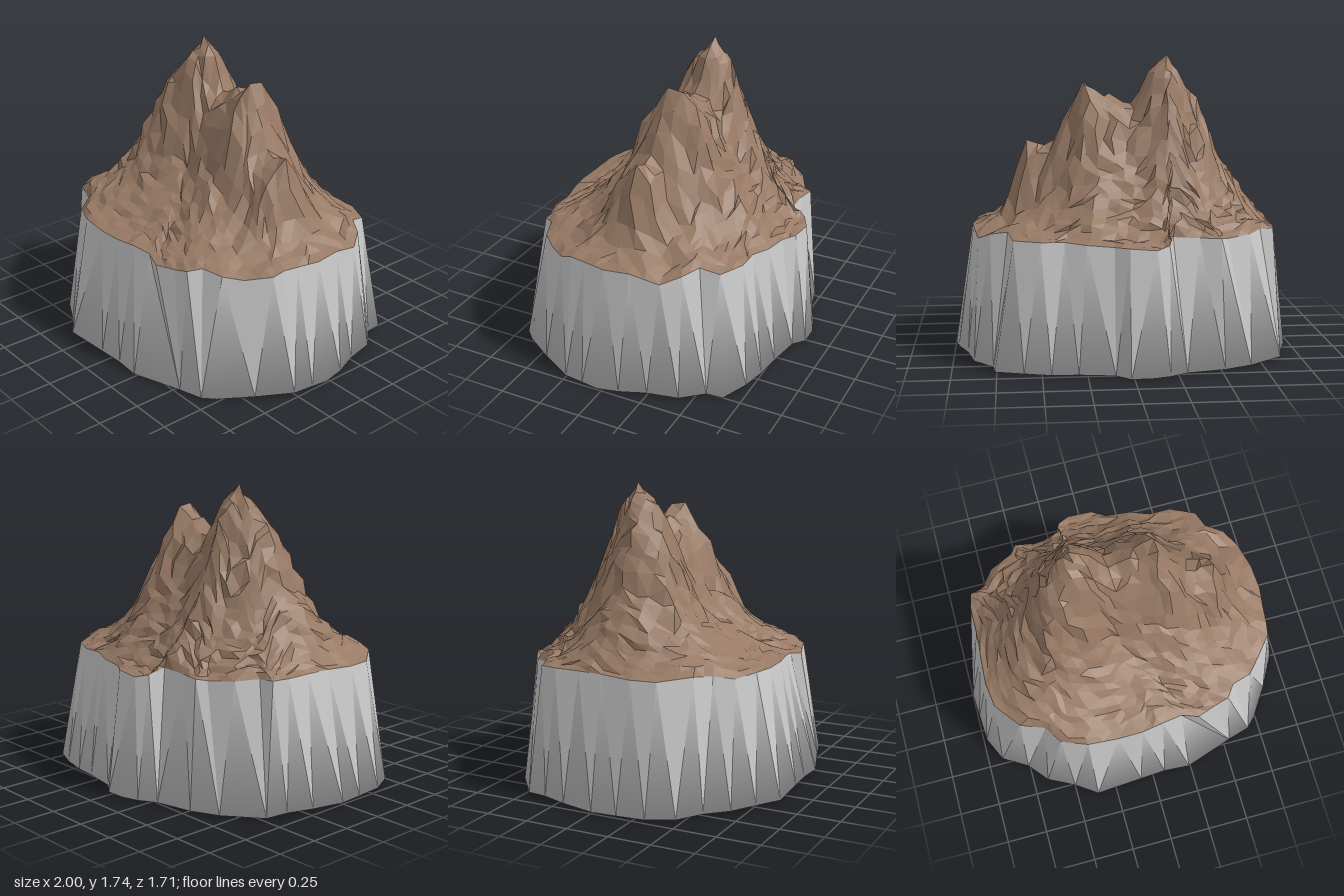
import * as THREE from 'three';
import { mergeVertices } from 'three/addons/utils/BufferGeometryUtils.js';

// Cliff edge as [x, z, height] and foot as [x, z], running from +x towards +z
const RIM = [
  [0.89, 0.02, 0.73], [0.87, 0.16, 0.735], [0.86, 0.25, 0.74], [0.85, 0.32, 0.72], [0.75, 0.44, 0.7],
  [0.67, 0.53, 0.72], [0.55, 0.57, 0.735], [0.5, 0.64, 0.72], [0.42, 0.66, 0.705], [0.3, 0.7, 0.7],
  [0.2, 0.67, 0.72], [0.08, 0.69, 0.73], [-0.05, 0.71, 0.725], [-0.2, 0.71, 0.72], [-0.38, 0.7, 0.73],
  [-0.53, 0.64, 0.72], [-0.6, 0.54, 0.74], [-0.74, 0.49, 0.76], [-0.86, 0.33, 0.74], [-0.88, 0.18, 0.74],
  [-0.87, 0, 0.75], [-0.86, -0.15, 0.75], [-0.86, -0.3, 0.75], [-0.84, -0.4, 0.75], [-0.76, -0.42, 0.75],
  [-0.68, -0.53, 0.74], [-0.54, -0.6, 0.73], [-0.5, -0.65, 0.74], [-0.38, -0.63, 0.74], [-0.23, -0.64, 0.75],
  [-0.2, -0.73, 0.72], [-0.13, -0.77, 0.7], [0.02, -0.76, 0.71], [0.1, -0.71, 0.71], [0.25, -0.69, 0.72],
  [0.37, -0.64, 0.73], [0.5, -0.64, 0.73], [0.65, -0.57, 0.73], [0.68, -0.46, 0.76], [0.78, -0.4, 0.74],
  [0.85, -0.3, 0.7], [0.88, -0.13, 0.74],
];
const FOOT = [
  [1, 0.03], [0.99, 0.13], [0.97, 0.25], [0.86, 0.45], [0.74, 0.63], [0.68, 0.69], [0.54, 0.73],
  [0.24, 0.83], [0.08, 0.82], [-0.08, 0.83], [-0.37, 0.85], [-0.5, 0.76], [-0.66, 0.68], [-0.76, 0.56],
  [-0.91, 0.47], [-0.98, 0.32], [-0.99, 0.15], [-1, 0], [-0.96, -0.2], [-0.91, -0.35], [-0.88, -0.48],
  [-0.68, -0.64], [-0.52, -0.71], [-0.3, -0.76], [-0.2, -0.82], [-0.1, -0.855], [0.02, -0.855],
  [0.1, -0.8], [0.3, -0.77], [0.45, -0.75], [0.6, -0.72], [0.76, -0.65], [0.77, -0.55], [0.88, -0.43],
  [0.92, -0.25], [0.98, -0.1],
];

// Mountain profiles: skyline height along x, slope height along z, ridge position along x
const SKYLINE = [
  [-0.88, 0.73], [-0.84, 0.755], [-0.74, 0.88], [-0.62, 1.1], [-0.55, 1.17], [-0.51, 1.33], [-0.42, 1.51],
  [-0.34, 1.63], [-0.26, 1.74], [-0.19, 1.71], [-0.11, 1.56], [-0.03, 1.46], [0.04, 1.52], [0.11, 1.53],
  [0.21, 1.61], [0.26, 1.57], [0.32, 1.4], [0.42, 1.23], [0.49, 1.11], [0.61, 0.97], [0.72, 0.81], [0.89, 0.73],
];
const SLOPE = [
  [-0.74, 0.73], [-0.645, 0.765], [-0.55, 0.89], [-0.456, 1.03], [-0.34, 1.28], [-0.24, 1.54], [-0.17, 1.66],
  [-0.1, 1.74], [0.014, 1.64], [0.1, 1.48], [0.143, 1.32], [0.207, 1.14], [0.315, 0.99], [0.373, 0.93],
  [0.51, 0.81], [0.58, 0.77], [0.7, 0.73],
];
const RIDGE = [[-0.6, -0.02], [-0.4, -0.05], [-0.26, -0.1], [0.2, -0.1], [0.56, -0.02]];
const BASE = 0.73, PEAK = [-0.26, -0.1], SIDE_PEAK = [0.56, -0.01];

function sample(table, v) {
  if (v <= table[0][0]) return table[0][1];
  for (let i = 1; i < table.length; i++) {
    const [a, ya] = table[i - 1], [b, yb] = table[i];
    if (v <= b) return ya + (yb - ya) * (v - a) / (b - a);
  }
  return table[table.length - 1][1];
}

function relief(x, z) {
  const across = (sample(SLOPE, z - sample(RIDGE, x) - 0.1) - BASE) / (1.74 - BASE);
  const dx = x - PEAK[0], dz = z - PEAK[1];
  const gully = 1 - 0.06 * Math.abs(Math.sin(Math.atan2(dz, dx) * 9 + Math.hypot(dx, dz) * 5)) * Math.min(1, Math.abs(dz) * 5);
  // Small pinnacle on the right shoulder
  const reach = Math.hypot((x - SIDE_PEAK[0]) / 0.13, (z - SIDE_PEAK[1]) / 0.2);
  return (sample(SKYLINE, x) - BASE) * across * gully + 0.22 * Math.max(0, 1 - reach);
}

function seeded(seed) {
  return () => {
    seed = (seed * 16807) % 2147483647;
    return seed / 2147483647 * 2 - 1;
  };
}

// Joins two closed rings with triangles, kept apart by the ring their base lies on
function stitch(outer, inner, progress) {
  const onOuter = [], onInner = [];
  const at = (ring, i) => ring[i % ring.length];
  let i = 0, j = 0;
  while (i < outer.length || j < inner.length) {
    const stepOuter = j >= inner.length || (i < outer.length && progress(outer, i + 1) < progress(inner, j + 1));
    if (stepOuter) onOuter.push(at(outer, i), at(inner, j), at(outer, ++i));
    else onInner.push(at(outer, i), at(inner, j), at(inner, ++j));
  }
  return { onOuter, onInner };
}

const byIndex = (ring, i) => i / ring.length;
function byAngle(ring, i) {
  const turn = Math.PI * 2, p = ring[i % ring.length];
  return (Math.atan2(p.z, p.x) + turn) % turn + (i >= ring.length ? turn : 0);
}

function makeMesh(name, geometry, color, flatShading) {
  geometry.computeVertexNormals();
  const mesh = new THREE.Mesh(geometry, new THREE.MeshStandardMaterial({ color, flatShading }));
  mesh.name = name;
  return mesh;
}

const fromTriangles = (points) => new THREE.BufferGeometry().setFromPoints(points);

// Craggy top: rings shrinking from the rim to the main peak, with fewer points each
function mountainGeometry(rim) {
  const rand = seeded(77), rings = 21, tris = [];
  const rimPoint = (u) => {
    const i = Math.floor(u);
    return rim[i % rim.length].clone().lerp(rim[(i + 1) % rim.length], u - i);
  };
  let inner = [new THREE.Vector3(PEAK[0], 1.735, PEAK[1])];
  for (let k = 1; k <= rings; k++) {
    const t = k / rings, count = Math.round(rim.length * 2 * t);
    const outer = Array.from({ length: count }, (_, i) => {
      const p = rimPoint(i / count * rim.length);
      if (k === rings) return p;
      const x = PEAK[0] + (p.x - PEAK[0]) * t, z = PEAK[1] + (p.z - PEAK[1]) * t;
      const h = relief(x, z), y = BASE + (p.y - BASE) * t + h;
      const spread = 0.015 * Math.min(1, t * 4);
      return new THREE.Vector3(x + rand() * spread, y + rand() * (0.01 + 0.015 * h), z + rand() * spread);
    });
    const { onOuter, onInner } = stitch(outer, inner, byIndex);
    tris.push(...onOuter);
    if (k > 1) tris.push(...onInner);
    inner = outer;
  }
  return fromTriangles(tris);
}

export function createModel() {
  const rand = seeded(12);
  const rim = RIM.map(([x, z, y]) => new THREE.Vector3(x, y, z));
  const foot = FOOT.map(([x, z]) => new THREE.Vector3(x, 0.012 + 0.004 * rand(), z));

  // Cliff: soft-shaded body rounding into the underside, with flat flutes hanging from the rim
  const { onOuter: body, onInner: flutes } = stitch(foot, rim, byAngle);
  const centre = new THREE.Vector3(0, 0, 0);
  foot.forEach((p, i) => body.push(centre, p, foot[(i + 1) % foot.length]));

  const group = new THREE.Group();
  group.name = 'rockyIsland';
  group.add(
    makeMesh('mountain', mountainGeometry(rim), 0x987a65, true),
    makeMesh('cliffBody', mergeVertices(fromTriangles(body)), 0xcccccc, false),
    makeMesh('cliffFlutes', fromTriangles(flutes), 0xcccccc, true),
  );
  return group;
}
